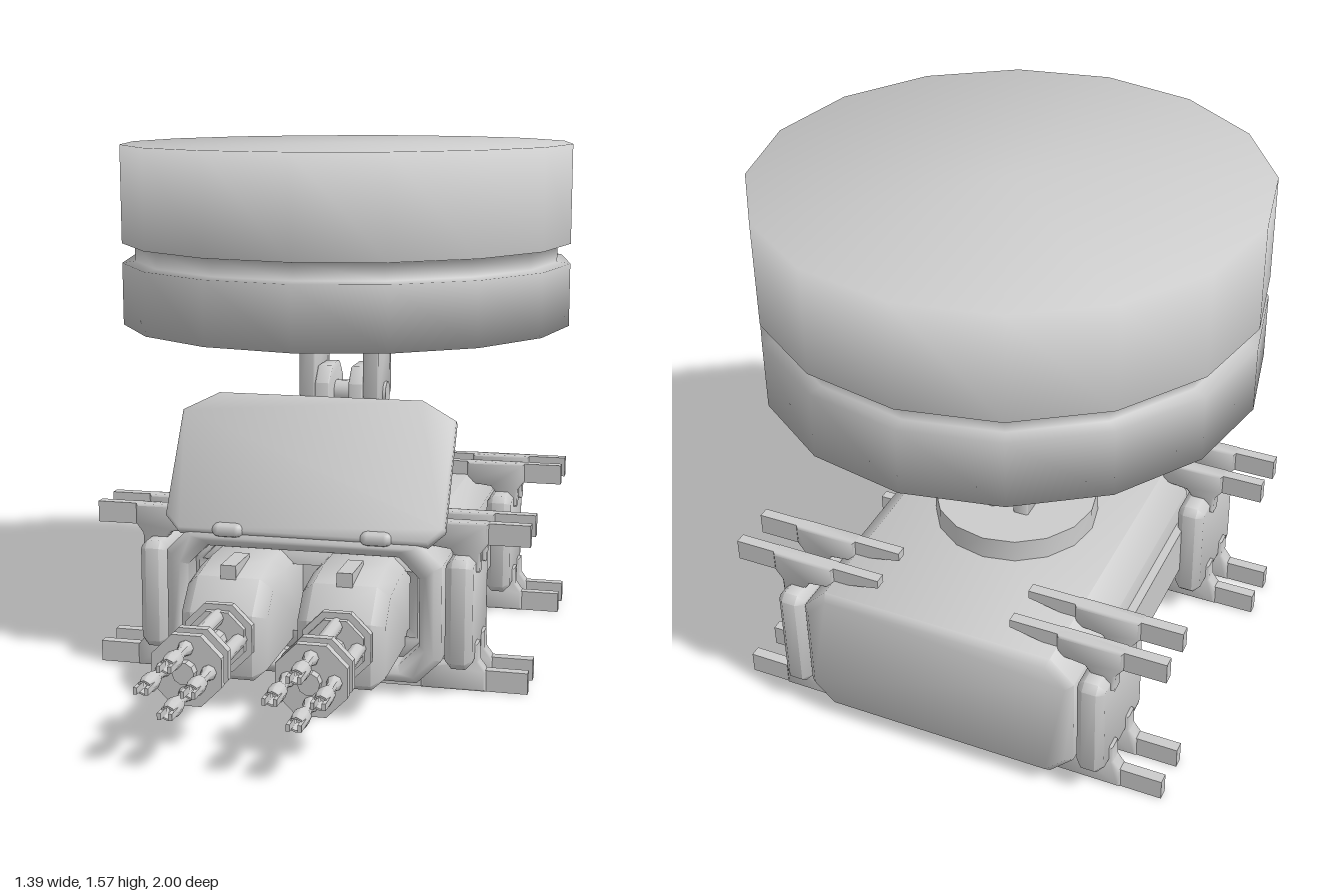
import * as THREE from 'three';
import { toCreasedNormals } from 'three/addons/utils/BufferGeometryUtils.js';

const material = new THREE.MeshStandardMaterial({ color: 0xcccccc });

function add(parent, name, geometry, x = 0, y = 0, z = 0) {
  const mesh = new THREE.Mesh(geometry, material);
  mesh.name = name;
  mesh.position.set(x, y, z);
  parent.add(mesh);
  return mesh;
}

const toShape = pts => new THREE.Shape(pts.map(p => new THREE.Vector2(...p)));

// rectangle with cut corners, from half sizes
function octagon(w, h, cx, cy = cx) {
  return [[cx - w, -h], [w - cx, -h], [w, cy - h], [w, h - cy],
    [w - cx, h], [cx - w, h], [-w, h - cy], [-w, cy - h]];
}

// bevelled prism, centred on its thickness
function prism(pts, thickness, bevel = 0, hole = null, crease = 0.9) {
  const shape = toShape(pts);
  if (hole) shape.holes.push(new THREE.Path(hole.map(p => new THREE.Vector2(...p))));
  const g = new THREE.ExtrudeGeometry(shape, {
    depth: thickness - 2 * bevel, bevelEnabled: bevel > 0, bevelThickness: bevel,
    bevelSize: bevel, bevelOffset: -bevel, bevelSegments: 1, curveSegments: 6,
  });
  g.translate(0, 0, bevel - thickness / 2);
  return toCreasedNormals(g, crease);
}

// cut-corner block given by its width along x and its outline in z and y
const sidePrism = (pts, thickness, bevel) => prism(pts, thickness, bevel).rotateY(-Math.PI / 2);

// turned part lying along z, from [radius, z] points
const turned = (pts, sides, crease = 0.8) => toCreasedNormals(
  new THREE.LatheGeometry(pts.map(p => new THREE.Vector2(...p)), sides), crease).rotateX(Math.PI / 2);

function makeBody(root) {
  const body = new THREE.Group();
  body.name = 'body';
  root.add(body);
  const cy = 0.255;
  add(body, 'hull', prism(octagon(0.41, 0.21, 0.07), 0.95, 0.02), 0, cy, -0.395);
  add(body, 'frontFrame', prism(octagon(0.41, 0.21, 0.07), 0.22, 0.02, octagon(0.345, 0.16, 0.06)), 0, cy, 0.17);
  add(body, 'innerFrame', prism(octagon(0.36, 0.175, 0.06), 0.14, 0.03, octagon(0.3, 0.13, 0.05)), 0, cy, 0.13);
  for (const s of [-1, 1]) {
    add(body, 'sideRail', new THREE.BoxGeometry(0.08, 0.15, 0.56), s * 0.395, cy, -0.3);
    for (const z of [0.103, -0.705]) {
      add(body, 'sidePad', sidePrism(octagon(0.16, 0.162, 0.02), 0.08, 0.02), s * 0.457, 0.252, z);
    }
  }
}

// eight pairs of bracket and plank gripping the corner pads
function makeOutriggers(root) {
  const bracket = [[0.34, 0.44], [0.42, 0.43], [0.47, 0.365], [0.507, 0.365], [0.508, 0.42],
    [0.53, 0.45], [0.53, 0.51], [0.34, 0.51]];
  const plank = [[0.2, 0.485], [0.38, 0.447], [0.65, 0.447], [0.65, 0.51], [0.2, 0.51]];
  for (const sx of [-1, 1]) for (const sy of [-1, 1]) {
    const flip = pts => pts.map(([x, y]) => [sx * x, 0.26 + sy * (y - 0.26)]);
    for (const z of [0.17, 0.045, -0.655, -0.782]) {
      add(root, 'outriggerBracket', prism(flip(bracket), 0.048, 0.006), 0, 0, z);
      add(root, 'outriggerPlank', prism(flip(plank), 0.032), 0, 0, z);
    }
  }
}

function makeShield(root) {
  const shield = new THREE.Group();
  shield.name = 'shield';
  shield.position.set(0, 0.452, 0.265);
  shield.rotation.x = -0.56;
  root.add(shield);
  const outline = [[-0.37, 0], [0.37, 0], [0.415, 0.045], [0.415, 0.38],
    [0.31, 0.44], [-0.31, 0.44], [-0.415, 0.38], [-0.415, 0.045]];
  add(shield, 'shieldPlate', prism(outline, 0.04, 0.008));
  for (const s of [-1, 1]) {
    add(root, 'shieldHinge', new THREE.CapsuleGeometry(0.022, 0.05, 3, 8).rotateZ(Math.PI / 2), s * 0.22, 0.467, 0.27);
  }
}

function makeGun(root, x) {
  const gun = new THREE.Group();
  gun.name = 'gun';
  gun.position.set(x, 0, 0);
  root.add(gun);
  const housing = [[0.04, 0.1], [0.5, 0.1], [0.515, 0.115], [0.515, 0.29], [0.435, 0.375], [0.3, 0.398], [0.04, 0.398]];
  add(gun, 'housing', sidePrism(housing, 0.25, 0.035));
  add(gun, 'sightBlock', new THREE.BoxGeometry(0.045, 0.05, 0.14), 0, 0.385, 0.37);

  // rotating cluster: collar, centre axle, clamp rings and four barrels
  const cluster = new THREE.Group();
  cluster.name = 'barrelCluster';
  cluster.position.y = 0.23;
  gun.add(cluster);
  const disc = (name, r, z0, z1, sides = 8) => {
    const g = new THREE.CylinderGeometry(r, r, z1 - z0, sides).rotateX(Math.PI / 2).rotateZ(Math.PI / 8);
    add(cluster, name, toCreasedNormals(g, 0.5), 0, 0, (z0 + z1) / 2);
  };
  disc('collar', 0.104, 0.515, 0.537);
  disc('collarNeck', 0.085, 0.5, 0.555);
  disc('axle', 0.03, 0.5, 0.85, 10);
  disc('rearRing', 0.104, 0.737, 0.762);
  disc('ringCore', 0.085, 0.755, 0.805);
  disc('frontRing', 0.104, 0.798, 0.822);
  const barrel = [[0, 0.5], [0.021, 0.5], [0.021, 0.83], [0.014, 0.85], [0.014, 0.875],
    [0.024, 0.91], [0.024, 0.945], [0.018, 0.97], [0.02, 0.975], [0.015, 0.975], [0.013, 0.93], [0, 0.93]];
  for (let i = 0; i < 4; i++) {
    const a = i * Math.PI / 2;
    const bx = 0.062 * Math.cos(a), by = 0.062 * Math.sin(a);
    add(cluster, 'barrel', turned(barrel, 8), bx, by, 0);
    // forked muzzle tips
    for (const s of [-1, 1]) {
      add(cluster, 'muzzleProng', new THREE.BoxGeometry(0.01, 0.018, 0.05), bx + s * 0.015, by, 0.975);
    }
  }
}

function makeMast(root) {
  const mast = new THREE.Group();
  mast.name = 'mast';
  mast.position.z = -0.3;
  root.add(mast);
  const base = new THREE.CylinderGeometry(0.238, 0.24, 0.08, 16);
  add(mast, 'mastBase', toCreasedNormals(base, 0.6), 0, 0.492, 0);
  const lower = [[-0.095, 0.5], [0.1, 0.5], [0.1, 0.83], [0.055, 0.88], [-0.05, 0.88], [-0.095, 0.83]];
  const upper = [[-0.1, 1.05], [-0.1, 0.79], [-0.06, 0.745], [-0.02, 0.73], [0.03, 0.73],
    [0.07, 0.745], [0.1, 0.79], [0.1, 1.05]];
  for (const s of [-1, 1]) {
    add(mast, 'lowerMastPlate', sidePrism(lower, 0.046, 0.004), s * 0.053, 0, 0);
    add(mast, 'upperMastPlate', sidePrism(upper, 0.05, 0.004), s * 0.101, 0, 0);
  }
  add(mast, 'hingePin', toCreasedNormals(new THREE.CylinderGeometry(0.037, 0.037, 0.27, 10), 0.8).rotateZ(Math.PI / 2), 0, 0.79, 0);
}

// large grooved drum, leaning slightly forward
function makeDrum(root) {
  const profile = [[0, -0.275], [0.695, -0.275], [0.695, -0.085], [0.655, -0.08], [0.655, -0.03],
    [0.695, -0.025], [0.695, 0.273], [0, 0.273]];
  const g = new THREE.LatheGeometry(profile.map(p => new THREE.Vector2(...p)), 16);
  add(root, 'drum', g, 0, 1.294, -0.303).rotation.x = 0.012;
}

export function createModel() {
  const root = new THREE.Group();
  root.name = 'gunTurret';
  makeBody(root);
  makeOutriggers(root);
  makeShield(root);
  for (const x of [-0.168, 0.168]) makeGun(root, x);
  makeMast(root);
  makeDrum(root);
  return root;
}
